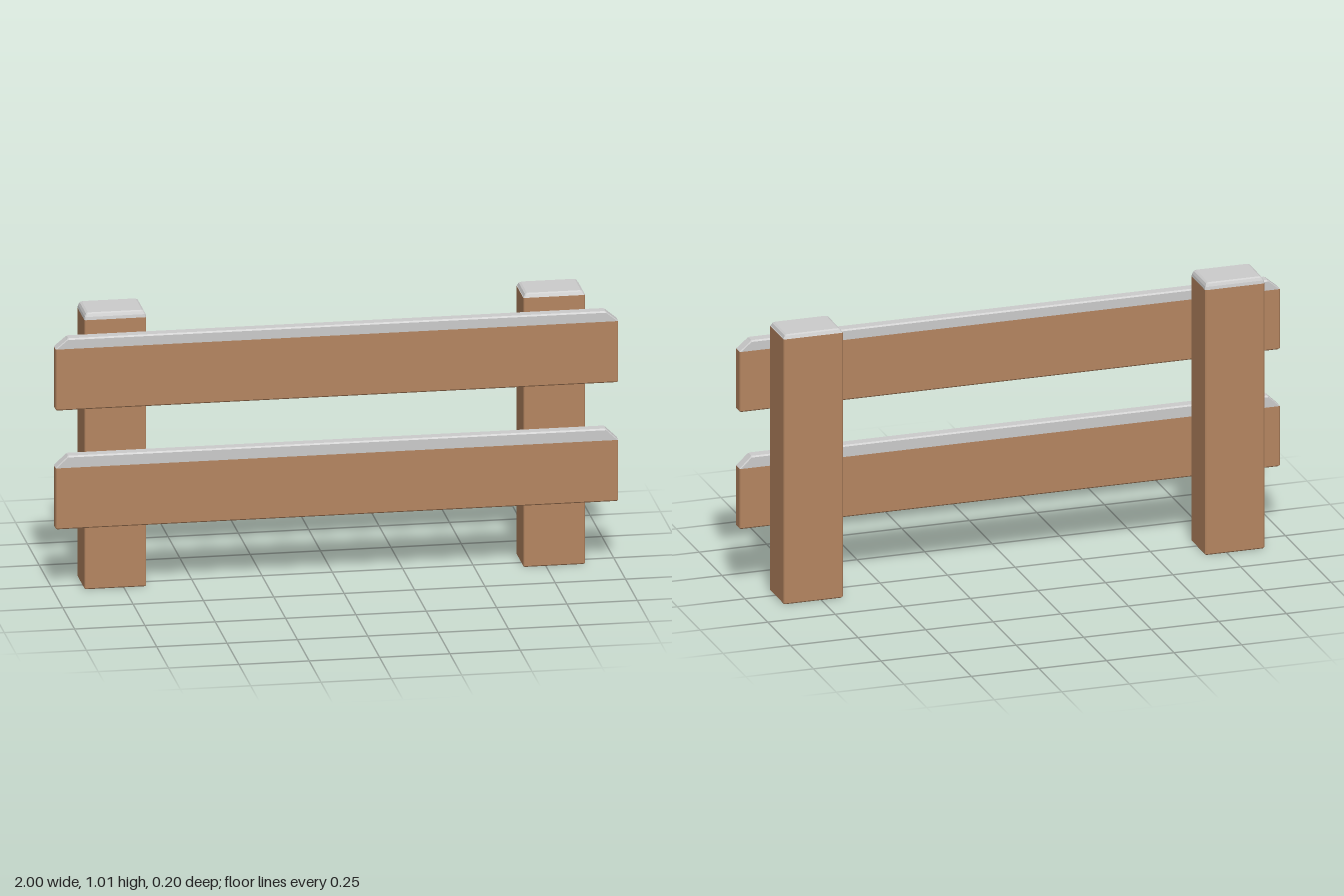
import * as THREE from 'three';

const wood = new THREE.MeshStandardMaterial({ color: 0xb58560, flatShading: true });
const snow = new THREE.MeshStandardMaterial({ color: 0xcccccc, flatShading: true });

// Closed solid through levels [y, halfWidth, halfDepth], with slim bevels on the upright edges
function loft(levels, bevel = 0.004) {
  const rings = levels.map(([y, w, d]) => [
    [w, d - bevel], [w, bevel - d], [w - bevel, -d], [bevel - w, -d],
    [-w, bevel - d], [-w, d - bevel], [bevel - w, d], [w - bevel, d],
  ].map(([x, z]) => [x, y, z]));
  const pos = [];
  const tri = (a, b, c) => pos.push(...a, ...b, ...c);
  for (let k = 0; k < rings.length - 1; k++) {
    const lo = rings[k], hi = rings[k + 1];
    for (let i = 0; i < 8; i++) {
      const j = (i + 1) % 8;
      tri(lo[i], lo[j], hi[j]);
      tri(lo[i], hi[j], hi[i]);
    }
  }
  const bottom = rings[0], top = rings[rings.length - 1];
  for (let i = 1; i < 7; i++) {
    tri(top[0], top[i], top[i + 1]);
    tri(bottom[0], bottom[i + 1], bottom[i]);
  }
  const geometry = new THREE.BufferGeometry();
  geometry.setAttribute('position', new THREE.Float32BufferAttribute(pos, 3));
  geometry.computeVertexNormals();
  return geometry;
}

function part(name, levels, material, x, z) {
  const mesh = new THREE.Mesh(loft(levels), material);
  mesh.name = name;
  mesh.position.set(x, 0, z);
  return mesh;
}

export function createModel() {
  const model = new THREE.Group();
  model.name = 'snowyFence';

  // Posts, each with a bevelled snow cap; the right one is slightly shorter
  const w = 0.11, d = 0.0775;
  for (const [side, x, top] of [['right', -0.78, 1.015], ['left', 0.78, 1.005]]) {
    model.add(part(side + 'Post', [
      [0, w - 0.003, d - 0.003], [0.004, w, d], [0.99, w, d],
    ], wood, x, -0.0225));
    model.add(part(side + 'PostSnow', [
      [0.99, w, d], [top - 0.014, w - 0.002, d - 0.002], [top - 0.004, w - 0.007, d - 0.006], [top, w - 0.014, d - 0.011],
    ], snow, x, -0.0225));
  }

  // Rails on the front of the posts, with snow that slopes down at both ends
  const t = 0.0225;
  for (const [name, bottom, seam, top] of [['lower', 0.24, 0.465, 0.508], ['upper', 0.677, 0.902, 0.94]]) {
    model.add(part(name + 'Rail', [
      [bottom, 0.997, t - 0.003], [bottom + 0.004, 1, t], [seam, 1, t],
    ], wood, 0, 0.0775));
    model.add(part(name + 'RailSnow', [
      [seam, 1, t], [top - 0.005, 0.96, t], [top, 0.955, t - 0.005],
    ], snow, 0, 0.0775));
  }
  return model;
}
